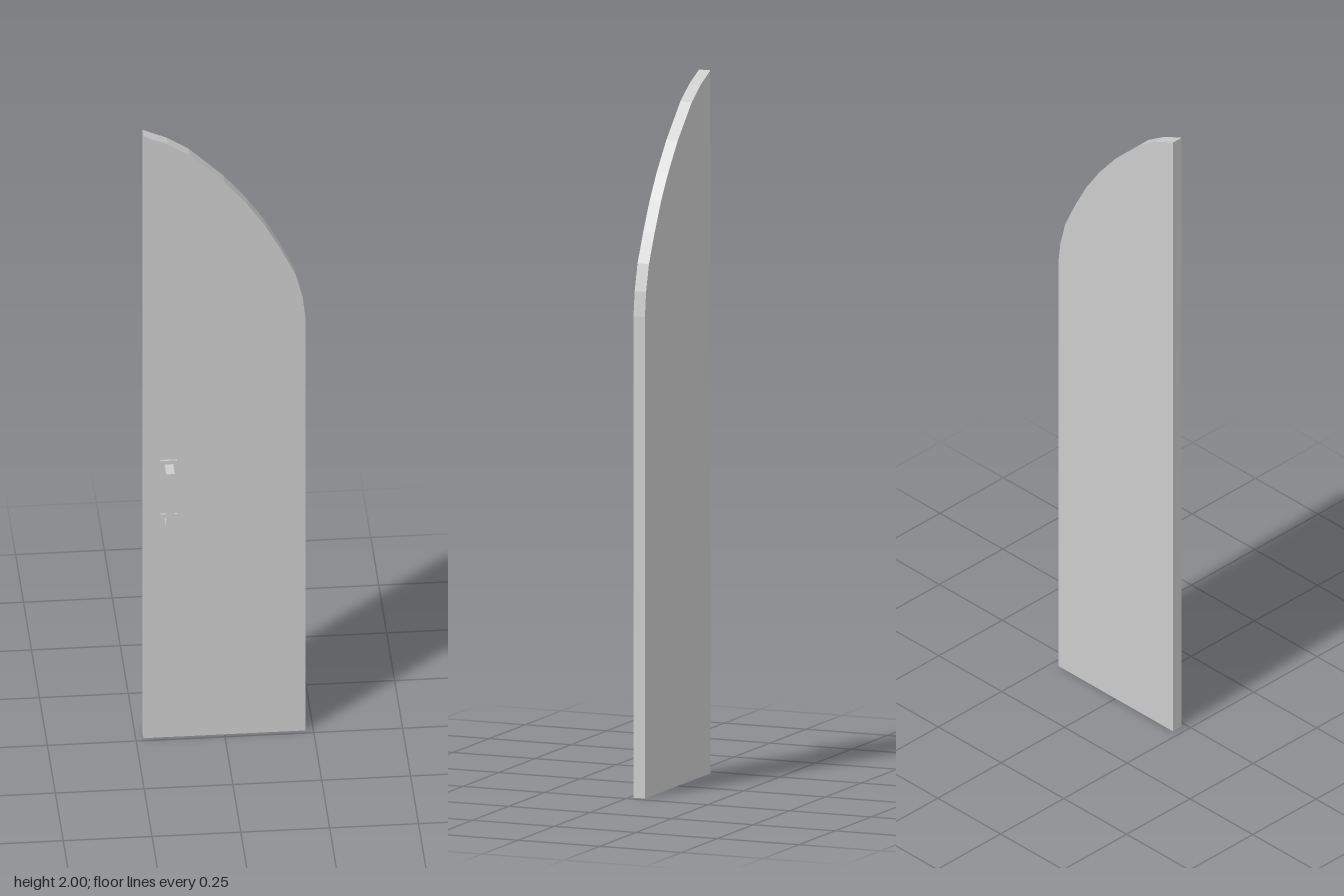
import * as THREE from 'three';

export function createModel() {
  const model = new THREE.Group();
  const material = new THREE.MeshStandardMaterial({ color: 0xcccccc, flatShading: true });

  const add = (name, geometry, parent = model) => {
    const mesh = new THREE.Mesh(geometry, material);
    mesh.name = name;
    parent.add(mesh);
    return mesh;
  };

  // Door leaf: straight sides with a faceted half-arch top
  const outline = [
    [-0.228, 0], [0.228, 0], [0.228, 1.37], [0.22, 1.44], [0.2, 1.516], [0.16, 1.6],
    [0.115, 1.683], [0.065, 1.756], [0, 1.835], [-0.098, 1.93], [-0.16, 1.97], [-0.228, 2],
  ].map(([x, y]) => new THREE.Vector2(x, y));
  const leaf = add('doorLeaf', new THREE.ExtrudeGeometry(new THREE.Shape(outline), {
    depth: 0.035, bevelEnabled: false,
  }));
  leaf.position.z = -0.048;

  // Pull handle: flat grip, two arms and their mounting plates
  const handle = new THREE.Group();
  handle.name = 'handle';
  handle.position.set(-0.157, 0.81, 0);
  model.add(handle);

  const bracket = new THREE.Shape([
    [-0.01, -0.1], [0.045, -0.1], [0.045, 0.1], [-0.01, 0.1],
    [-0.01, 0.078], [0.034, 0.078], [0.034, -0.078], [-0.01, -0.078],
  ].map(([z, y]) => new THREE.Vector2(z, y)));
  const grip = new THREE.ExtrudeGeometry(bracket, { depth: 0.024, bevelEnabled: false });
  grip.translate(0, 0, -0.012).rotateY(-Math.PI / 2);
  add('handleGrip', grip, handle);

  for (const side of [-1, 1]) {
    const plate = add('handlePlate', new THREE.BoxGeometry(0.046, 0.046, 0.006), handle);
    plate.position.set(0, side * 0.089, -0.01);
  }

  return model;
}
